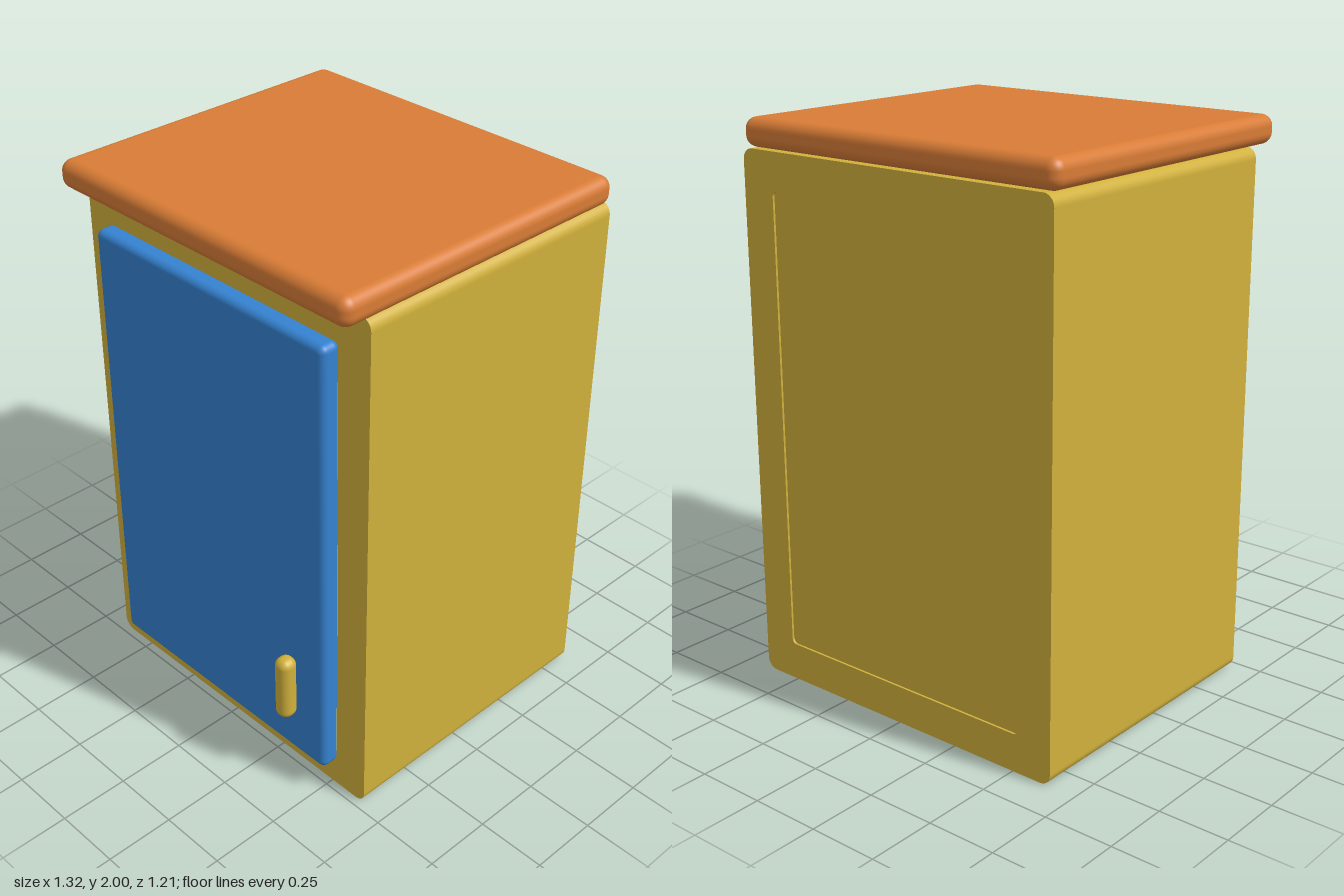
import * as THREE from 'three';
import { RoundedBoxGeometry } from 'three/addons/geometries/RoundedBoxGeometry.js';

// Rounded rectangle outline centred on (0, cy)
function roundedRect(target, w, h, cy, r) {
  const x = w / 2, b = cy - h / 2, t = cy + h / 2;
  target.moveTo(-x + r, b);
  target.lineTo(x - r, b);
  target.absarc(x - r, b + r, r, -Math.PI / 2, 0);
  target.lineTo(x, t - r);
  target.absarc(x - r, t - r, r, 0, Math.PI / 2);
  target.lineTo(-x + r, t);
  target.absarc(-x + r, t - r, r, Math.PI / 2, Math.PI);
  target.lineTo(-x, b + r);
  target.absarc(-x + r, b + r, r, Math.PI, Math.PI * 1.5);
  return target;
}

export function createModel() {
  const group = new THREE.Group();
  const material = (name, color) => {
    const m = new THREE.MeshStandardMaterial({ color });
    m.name = name;
    return m;
  };
  const yellow = material('yellow paint', 0xd0b03c);
  const orange = material('orange worktop', 0xd87c36);
  const blue = material('blue door', 0x3582d0);

  const add = (name, geometry, mat, x, y, z) => {
    const mesh = new THREE.Mesh(geometry, mat);
    mesh.name = name;
    mesh.position.set(x, y, z);
    group.add(mesh);
  };
  const rounded = (w, h, d, r) => new RoundedBoxGeometry(w, h, d, 5, r);

  // Cabinet shell, open front to back
  const outline = roundedRect(new THREE.Shape(), 1.305, 1.895, 0.9525, 0.04);
  outline.holes.push(roundedRect(new THREE.Path(), 1.04, 1.63, 0.955, 0.02));
  add('cabinetShell', new THREE.ExtrudeGeometry(outline, { depth: 1.075, bevelEnabled: false, curveSegments: 6 }),
    yellow, 0, 0, -0.605);

  // Back panel, set slightly into the shell
  add('backPanel', new THREE.BoxGeometry(1.06, 1.65, 0.03), yellow, 0, 0.955, -0.582);

  // Worktop, door and handle
  add('worktop', rounded(1.32, 0.1, 1.185, 0.04), orange, 0, 1.95, -0.0125);
  add('door', rounded(1.065, 1.66, 0.076, 0.025), blue, 0, 0.955, 0.507);
  add('handle', rounded(0.066, 0.25, 0.068, 0.03), yellow, 0.38, 0.425, 0.573);

  return group;
}
